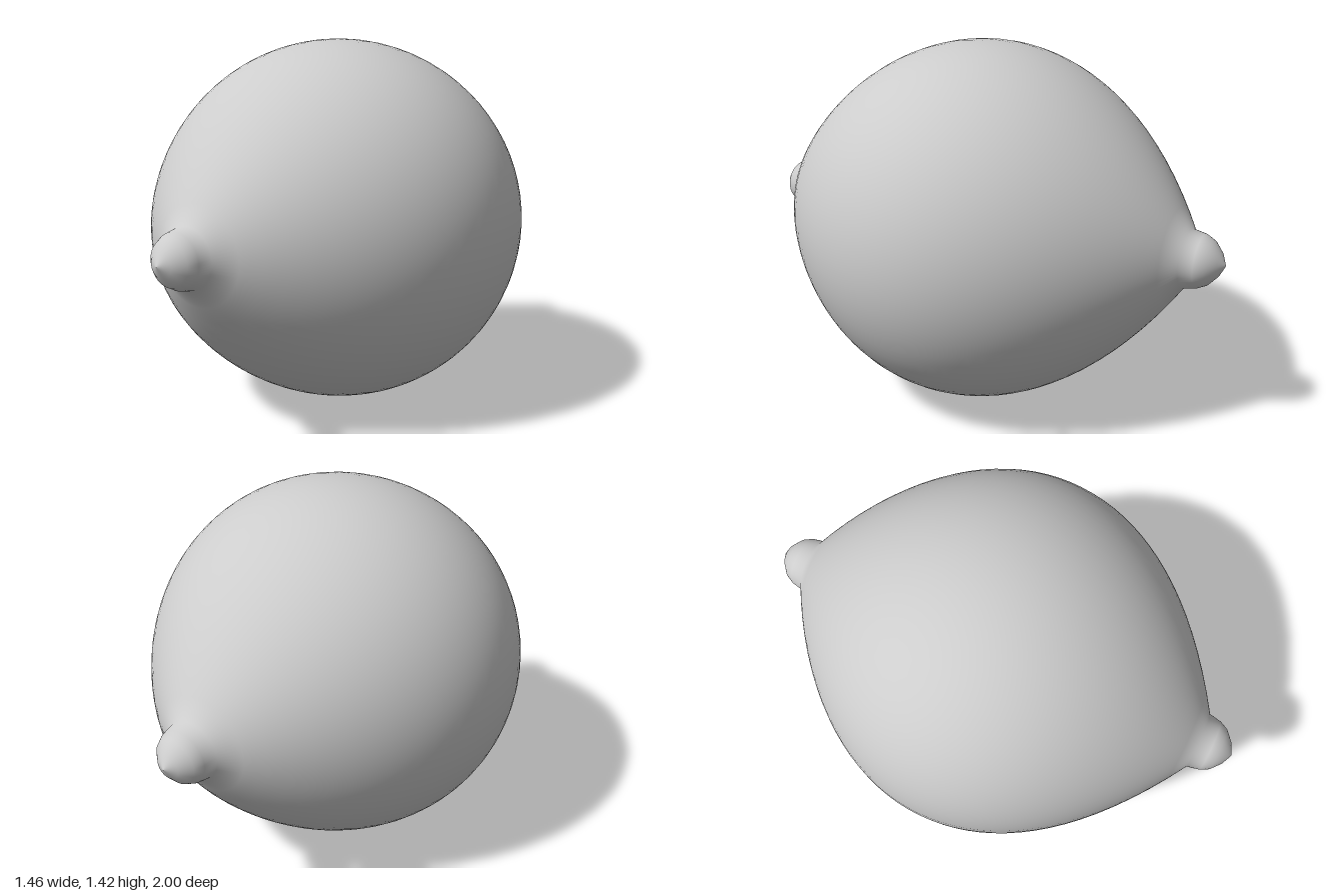
import * as THREE from 'three';

export function createModel() {
  const group = new THREE.Group();
  group.name = 'lemon';
  const peel = new THREE.MeshStandardMaterial({ color: 0xcccccc });
  peel.name = 'paleGrey';

  // Half profile: pointed body arc followed by the small blunt nub
  const half = [];
  const steps = 18, bodyEnd = 0.86, radius = 0.71, neck = 0.11;
  for (let i = 0; i <= steps; i++) {
    const u = i / steps;
    const drop = 0.88 * u ** 2 + 0.12 * u ** 4;
    half.push([radius - (radius - neck) * drop, bodyEnd * u]);
  }
  half.push([0.1, 0.91], [0.083, 0.944], [0.045, 0.978], [0, 1]);

  // Mirror the half to get both ends, then spin it
  const lower = half.slice(1).reverse().map(([r, h]) => [r, -h]);
  const points = [...lower, ...half].map(([r, h]) => new THREE.Vector2(r, h));
  const geometry = new THREE.LatheGeometry(points, 72);

  // Lay the axis along z, slightly wider than tall, resting on the ground
  geometry.rotateX(Math.PI / 2);
  geometry.scale(0.73 / radius, 1, 1);
  geometry.translate(0, radius, 0);

  const body = new THREE.Mesh(geometry, peel);
  body.name = 'lemonBody';
  group.add(body);
  return group;
}
